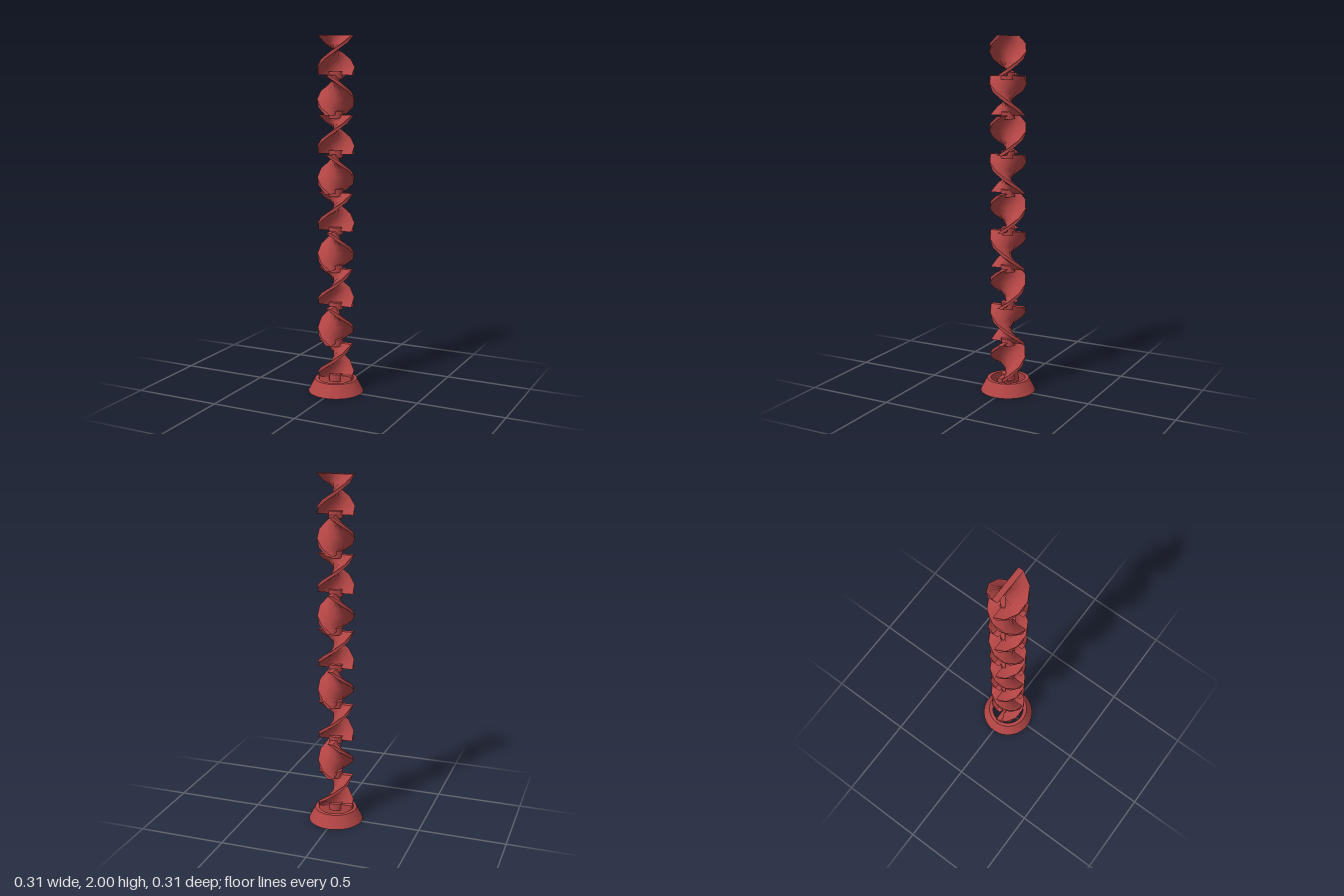
import * as THREE from 'three';
import { toCreasedNormals } from 'three/addons/utils/BufferGeometryUtils.js';

const COUNT = 9, BOTTOM = 0.072, TOP = 2;
const PITCH = (TOP - BOTTOM) / COUNT;
const WIDTH = 0.204, THICK = 0.03;

// Flat blade turned half a revolution from top to bottom
function twistedBlade(startAngle, hand) {
  const geo = new THREE.BoxGeometry(WIDTH, PITCH, THICK, 4, 5, 1);
  const p = geo.attributes.position;
  for (let i = 0; i < p.count; i++) {
    const x = p.getX(i), z = p.getZ(i);
    const a = startAngle + hand * Math.PI * (0.5 - p.getY(i) / PITCH);
    p.setX(i, x * Math.cos(a) - z * Math.sin(a));
    p.setZ(i, x * Math.sin(a) + z * Math.cos(a));
  }
  geo.computeVertexNormals();
  return geo;
}

export function createModel() {
  const group = new THREE.Group();
  const red = new THREE.MeshStandardMaterial({ color: 0xb24444 });
  red.name = 'red';

  const add = (name, geo, y) => {
    const mesh = new THREE.Mesh(geo, red);
    mesh.name = name;
    mesh.position.y = y;
    group.add(mesh);
  };

  // Hollow conical foot
  const profile = [[0.112, 0], [0.157, 0], [0.12, BOTTOM], [0.098, BOTTOM], [0.112, 0]]
    .map(([r, y]) => new THREE.Vector2(r, y));
  add('baseRing', toCreasedNormals(new THREE.LatheGeometry(profile, 48), 0.5), 0);

  // Bar across the foot that carries the stack
  add('baseBar', new THREE.BoxGeometry(WIDTH, 0.075, THICK), 0.0575);

  // Blades alternate in hand and start a quarter turn apart
  const even = twistedBlade(0, 1);
  const odd = twistedBlade(Math.PI / 2, -1);
  const hub = new THREE.CylinderGeometry(0.039, 0.039, 0.04, 16);
  for (let i = 0; i < COUNT; i++) {
    const top = TOP - i * PITCH;
    add('mixingBlade' + (i + 1), i % 2 ? odd : even, top - PITCH / 2);
    // Short hub joining each blade to the next part down
    add('hub' + (i + 1), hub, top - PITCH + (i === COUNT - 1 ? 0.008 : 0));
  }
  return group;
}
